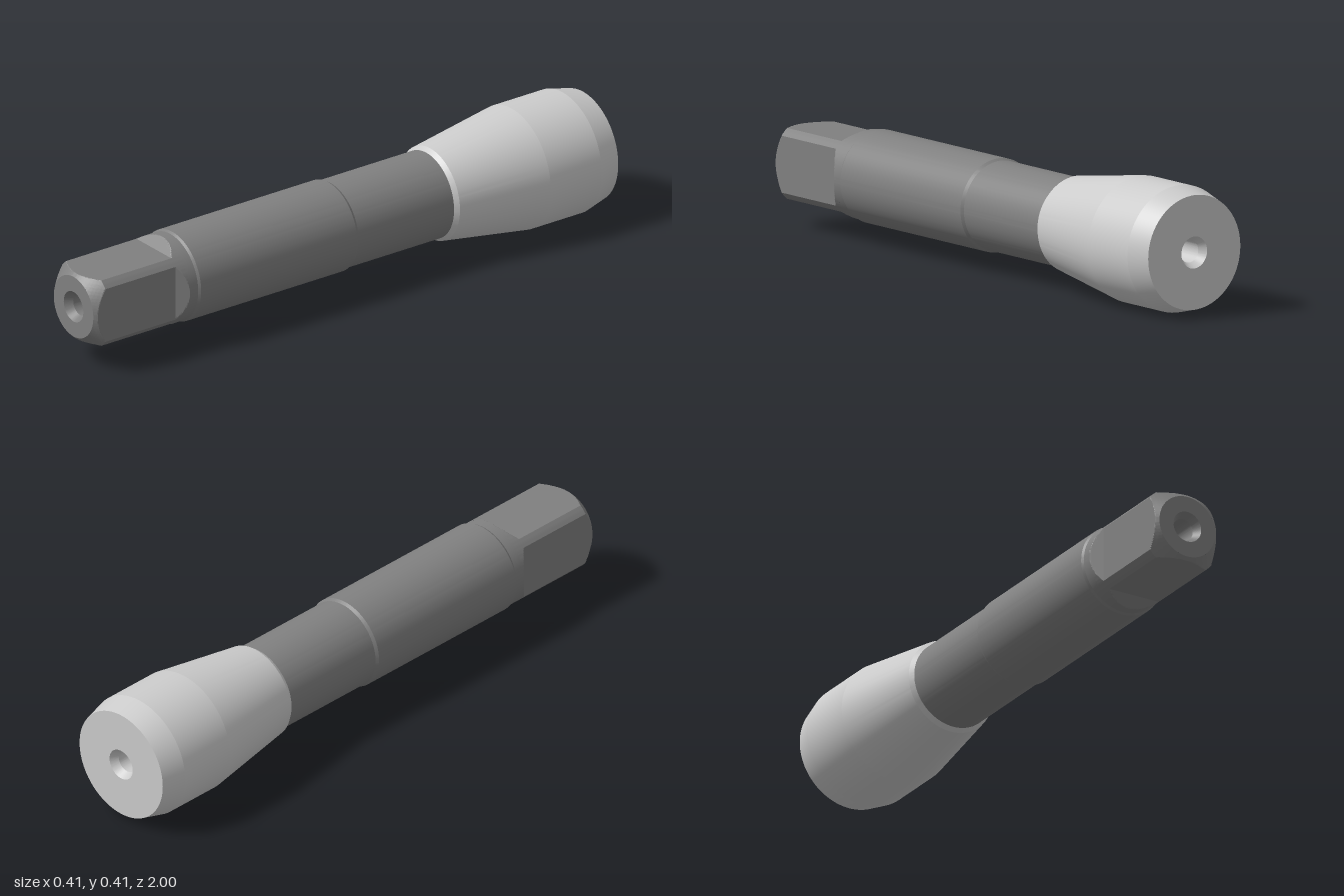
import * as THREE from 'three';
import { toCreasedNormals } from 'three/addons/utils/BufferGeometryUtils.js';

const AXIS_Y = 0.203;
const SEGMENTS = 96;
const steel = new THREE.MeshStandardMaterial({ color: 0x808080 });
const grip = new THREE.MeshStandardMaterial({ color: 0xcccccc });

function part(name, geometry, material) {
  const mesh = new THREE.Mesh(toCreasedNormals(geometry, 0.1), material);
  mesh.name = name;
  return mesh;
}

// Turned part about the z axis; profile is [radius, z]
function turned(name, profile, material) {
  const points = profile.map(([r, z]) => new THREE.Vector2(r, z));
  return part(name, new THREE.LatheGeometry(points, SEGMENTS).rotateX(Math.PI / 2), material);
}

// Round bar milled to four flats, with a conical nose and sloped run-outs
function squareHead() {
  const BAR = 0.145, FLAT = 0.113, NOSE = 0.103;
  const runOutStart = 0.652, runOutEnd = 0.685, noseStart = 0.96;

  const stations = [];
  for (let i = 0; i <= 12; i++) stations.push(THREE.MathUtils.lerp(runOutStart, runOutEnd, i / 12));
  for (let i = 0; i <= 16; i++) stations.push(THREE.MathUtils.lerp(noseStart, 1, i / 16));

  // Angles include the exact edges of the flats
  const edge = Math.acos(FLAT / BAR);
  const angles = [];
  for (let q = 0; q < 4; q++) {
    const mid = q * Math.PI / 2;
    for (let i = 0; i < 40; i++) angles.push(mid - edge + 2 * edge * i / 40);
    for (let i = 0; i < 6; i++) angles.push(mid + edge + (Math.PI / 2 - 2 * edge) * i / 6);
  }

  const positions = [], index = [], n = angles.length;
  stations.forEach((z, s) => {
    const round = THREE.MathUtils.mapLinear(Math.max(z, noseStart), noseStart, 1, BAR, NOSE);
    const flat = THREE.MathUtils.mapLinear(Math.min(z, runOutEnd), runOutStart, runOutEnd, BAR, FLAT);
    angles.forEach((a, j) => {
      const r = Math.min(round, flat / Math.max(Math.abs(Math.cos(a)), Math.abs(Math.sin(a))));
      positions.push(r * Math.cos(a), r * Math.sin(a), z);
      if (s === 0) return;
      const k = (j + 1) % n, lo = (s - 1) * n, hi = s * n;
      index.push(lo + j, lo + k, hi + k, lo + j, hi + k, hi + j);
    });
  });
  const geometry = new THREE.BufferGeometry();
  geometry.setAttribute('position', new THREE.Float32BufferAttribute(positions, 3));
  geometry.setIndex(index);
  return part('squareHead', geometry, steel);
}

export function createModel() {
  const group = new THREE.Group();
  group.name = 'extensionTool';

  // Stepped shaft with a slightly thicker front half
  const shaft = turned('shaft', [
    [0.144, -0.41], [0.144, -0.01], [0.15, 0], [0.15, 0.612],
    [0.145, 0.62], [0.145, 0.652],
  ], steel);

  // Nose face, countersink and front length of the through bore
  const bore = turned('frontBore', [
    [0.103, 1], [0.051, 1], [0.036, 0.974], [0.036, -0.4],
  ], steel);

  // Flared handle with the rear length of the bore
  const handle = turned('handle', [
    [0.036, -0.4], [0.036, -0.974], [0.051, -1], [0.183, -1],
    [0.203, -0.92], [0.203, -0.72], [0.155, -0.4], [0.144, -0.385],
  ], grip);

  group.add(shaft, squareHead(), bore, handle);
  group.children.forEach((mesh) => { mesh.position.y = AXIS_Y; });
  return group;
}
